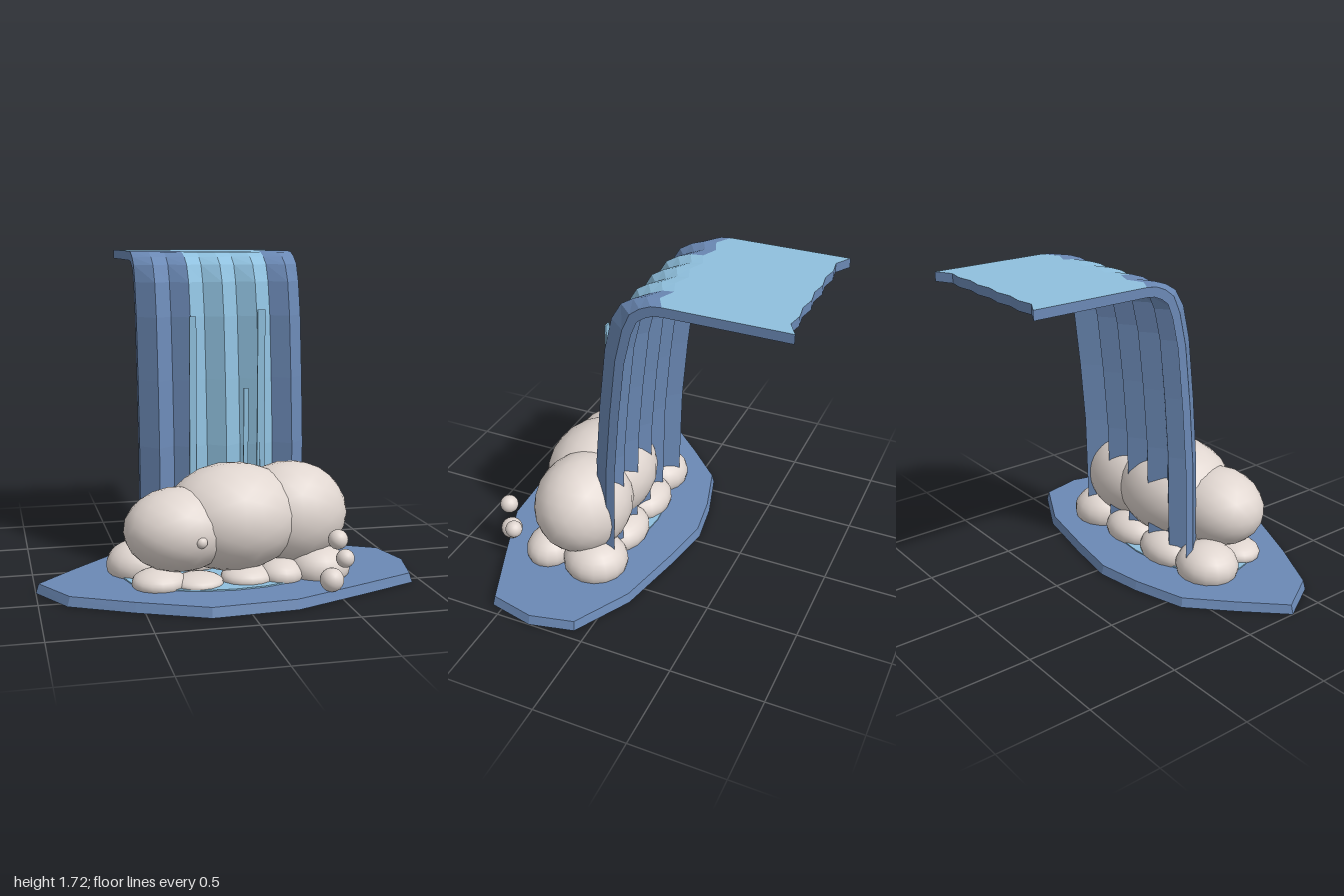
import * as THREE from 'three';

const deepBlue = new THREE.MeshStandardMaterial({ name: 'deepWaterBlue', color: 0x6b89b5 });
const lightBlue = new THREE.MeshStandardMaterial({ name: 'lightWaterBlue', color: 0x8fc0de });
const foamWhite = new THREE.MeshStandardMaterial({ name: 'foam', color: 0xe0d6d0 });

function addMesh(parent, name, geometry, material, x = 0, y = 0, z = 0) {
  const mesh = new THREE.Mesh(geometry, material);
  mesh.name = name;
  mesh.position.set(x, y, z);
  parent.add(mesh);
  return mesh;
}

// Faceted pool slab with slightly sloping sides
function makePool() {
  const outline = [
    [-1, 0.31], [-0.86, 0.55], [-0.55, 0.71], [-0.2, 0.865], [0.24, 0.84], [0.6, 0.7], [0.945, 0.56],
    [1, 0.31], [0.945, 0.07], [0.63, -0.1], [0.25, -0.18], [-0.05, -0.23], [-0.3, -0.19],
    [-0.59, -0.105], [-0.8, 0.1],
  ];
  const shape = new THREE.Shape(outline.map(([x, z]) => new THREE.Vector2(x, -z)));
  const geometry = new THREE.ExtrudeGeometry(shape, { depth: 0.05, bevelEnabled: false });
  geometry.rotateX(-Math.PI / 2);
  const pos = geometry.attributes.position;
  for (let i = 0; i < pos.count; i++) {
    if (pos.getY(i) > 0.025) {
      pos.setX(i, pos.getX(i) * 0.985);
      pos.setZ(i, 0.32 + (pos.getZ(i) - 0.32) * 0.975);
    }
  }
  geometry.computeVertexNormals();
  return geometry;
}

// Pleated sheet of water: a flat run, a rounded lip and a long fall
function addWaterfall(group) {
  const columns = 10, thickness = 0.05;
  const profile = [ // z, y along the ridges, back to front
    [-0.815, 1.72], [-0.17, 1.72], [-0.1, 1.714], [-0.03, 1.69], [0.035, 1.65], [0.088, 1.56],
    [0.13, 1.38], [0.168, 1.05], [0.198, 0.7], [0.216, 0.05],
  ];
  const last = profile.length - 1;
  const point = (i, j, inner) => {
    const a = profile[Math.max(j - 1, 0)], b = profile[Math.min(j + 1, last)];
    let nz = a[1] - b[1], ny = b[0] - a[0];
    if (j < 2) { nz = 0; ny = 1; }
    const length = Math.hypot(nz, ny);
    const end = i === 0 || i === columns;
    const fold = end ? -0.1 : i % 2 ? 0 : -0.07;
    const strength = j === 0 ? (end ? 0.5 : 0.2) : 0.5 + 0.5 * Math.min(1, (j - 1) / 4);
    const depth = inner ? thickness / length : 0;
    return [
      -0.425 + 0.09 * i,
      profile[j][1] - ny * depth,
      profile[j][0] + fold * strength - nz * depth,
    ];
  };
  const dark = [], light = [];
  const quad = (list, a, b, c, d) => list.push(...a, ...b, ...c, ...a, ...c, ...d);
  for (let j = 0; j < last; j++) {
    for (let i = 0; i < columns; i++) {
      const pale = j === 0 || (i >= 3 && i < 8);
      quad(pale ? light : dark, point(i, j), point(i, j + 1), point(i + 1, j + 1), point(i + 1, j));
      quad(dark, point(i + 1, j, true), point(i + 1, j + 1, true), point(i, j + 1, true), point(i, j, true));
    }
    // Side edges
    quad(dark, point(0, j), point(0, j, true), point(0, j + 1, true), point(0, j + 1));
    quad(dark, point(columns, j + 1), point(columns, j + 1, true), point(columns, j, true), point(columns, j));
  }
  // Back and bottom edges
  for (let i = 0; i < columns; i++) {
    quad(dark, point(i, 0), point(i + 1, 0), point(i + 1, 0, true), point(i, 0, true));
    quad(dark, point(i, last, true), point(i + 1, last, true), point(i + 1, last), point(i, last));
  }
  const build = (list) => {
    const geometry = new THREE.BufferGeometry();
    geometry.setAttribute('position', new THREE.Float32BufferAttribute(list, 3));
    geometry.computeVertexNormals();
    return geometry;
  };
  addMesh(group, 'waterfallSheet', build(dark), deepBlue);
  addMesh(group, 'waterfallBrightFace', build(light), lightBlue);
}

export function createModel() {
  const group = new THREE.Group();
  group.name = 'waterfall';

  addMesh(group, 'pool', makePool(), deepBlue);
  addWaterfall(group);

  // Slim streaks in front of the fall: x, width, top, z
  [[-0.158, 0.036, 1.39, 0.204], [0.21, 0.04, 1.42, 0.203], [0.126, 0.025, 1.01, 0.212]].forEach(([x, w, top, z]) => {
    addMesh(group, 'waterStreak', new THREE.BoxGeometry(w, top - 0.1, 0.009), lightBlue, x, (top + 0.1) / 2, z);
  });
  addMesh(group, 'waterSpike', new THREE.ConeGeometry(0.014, 0.65, 4), lightBlue, 0.2, 0.425, 0.215);

  // Pale ripple lying on the pool
  const ripple = addMesh(group, 'ripple', new THREE.CylinderGeometry(1, 1, 0.008, 20), lightBlue, -0.03, 0.053, 0.33);
  ripple.scale.set(0.52, 1, 0.3);

  // Large foam clouds and flying droplets
  const ball = new THREE.IcosahedronGeometry(1.01, 3);
  const blob = (name, geometry, x, y, z, rx, ry, rz) => {
    addMesh(group, name, geometry, foamWhite, x, y, z).scale.set(rx, ry, rz);
  };
  blob('foamCloud', ball, -0.275, 0.325, 0.42, 0.285, 0.215, 0.24);
  blob('foamCloud', ball, 0.02, 0.36, 0.355, 0.36, 0.28, 0.305);
  blob('foamCloud', ball, 0.34, 0.355, 0.31, 0.305, 0.27, 0.265);
  [
    [-0.205, 0.31, 0.64, 0.03], [0.475, 0.305, 0.715, 0.05],
    [0.535, 0.187, 0.66, 0.047], [0.44, 0.105, 0.735, 0.06],
  ].forEach(([x, y, z, r]) => blob('droplet', ball, x, y, z, r, r, r));

  // Low foam mounds around the foot, cut off at the pool: x, z, top, x radius, z radius
  const cut = 2;
  const mound = new THREE.SphereGeometry(1, 16, 10, 0, Math.PI * 2, 0, cut);
  [
    [-0.445, 0.2, 0.22, 0.18, 0.17], [-0.16, 0.16, 0.19, 0.19, 0.14],
    [0.16, 0.16, 0.19, 0.19, 0.14], [0.47, 0.18, 0.23, 0.18, 0.18],
    [-0.39, 0.47, 0.14, 0.14, 0.13], [-0.19, 0.49, 0.11, 0.13, 0.12],
    [0.07, 0.47, 0.13, 0.14, 0.12], [0.25, 0.47, 0.15, 0.12, 0.12], [0.465, 0.46, 0.2, 0.16, 0.135],
  ].forEach(([x, z, top, rx, rz]) => {
    const ry = (top - 0.04) / (1 - Math.cos(cut));
    blob('foamMound', mound, x, top - ry, z, rx, ry, rz);
  });

  return group;
}
